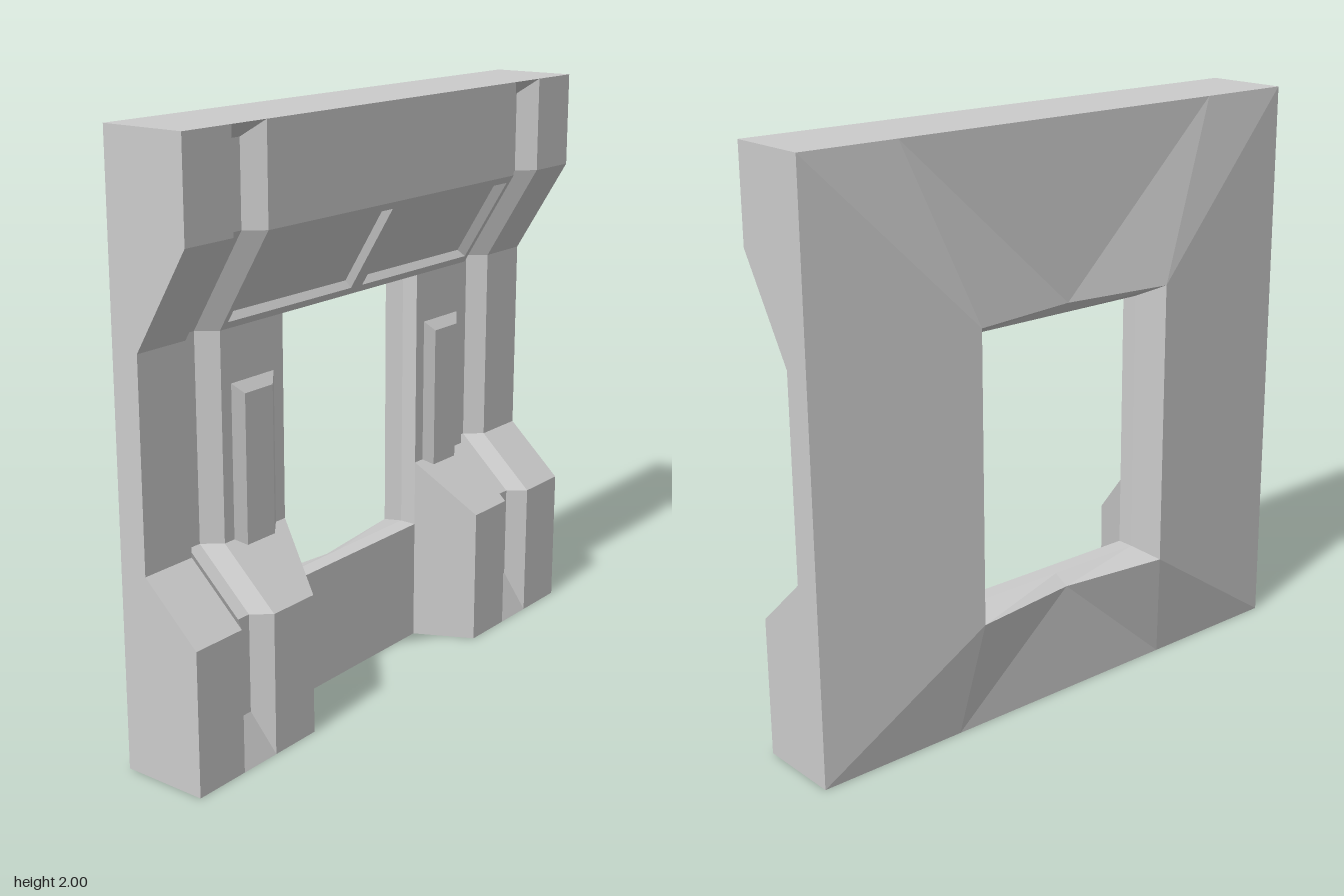
import * as THREE from 'three';

const BACK = -0.12, DEEP = -0.02, FULL = 0.18;
const material = new THREE.MeshStandardMaterial({ color: 0xcccccc, flatShading: true });

// Collects flat triangles from corner points, counter-clockwise from outside
class Faces {
  constructor() { this.p = []; }
  tri(a, b, c) { this.p.push(...a, ...b, ...c); }
  // Joins two polylines with quads
  strip(a, b) {
    for (let i = 0; i < a.length - 1; i++) {
      this.tri(a[i], a[i + 1], b[i + 1]);
      this.tri(a[i], b[i + 1], b[i]);
    }
  }
  mesh(name) {
    const g = new THREE.BufferGeometry();
    g.setAttribute('position', new THREE.Float32BufferAttribute(this.p, 3));
    g.computeVertexNormals();
    const m = new THREE.Mesh(g, material);
    m.name = name;
    return m;
  }
}

// Grid lines of the front relief
const halfX = [0.03, 0.04, 0.36, 0.46, 0.605, 0.63, 0.65, 0.7, 0.75, 0.8, 1];
const xs = [...halfX.map(x => -x).reverse(), ...halfX];
const ys = [0, 0.15, 0.43, 0.48, 0.665, 1.35, 1.375, 1.4, 1.645, 1.655, 1.68, 1.95, 2];

// Wall profile: thick foot, thin middle, thick head
function profile(y) {
  if (y <= 0.48 || y >= 1.68) return FULL;
  if (y < 0.665) return THREE.MathUtils.mapLinear(y, 0.48, 0.665, FULL, DEEP);
  if (y <= 1.35) return DEEP;
  return THREE.MathUtils.mapLinear(y, 1.35, 1.68, DEEP, FULL);
}

function relief(x, y) {
  const ax = Math.abs(x);
  let z = ax <= 0.36 && y < 0.665 ? DEEP : profile(y);
  if (ax >= 0.7 && ax <= 0.75 && y > 0 && y < 2) z -= 0.06; // vertical grooves
  if (ax >= 0.04 && ax <= 0.605 && y >= 1.4 && y <= 1.645) z -= 0.03; // lintel panels
  return [x, y, z];
}

function frontFace() {
  const f = new Faces();
  for (let i = 0; i < xs.length - 1; i++) {
    for (let j = 0; j < ys.length - 1; j++) {
      const mx = Math.abs(xs[i] + xs[i + 1]) / 2;
      if (mx < 0.36 && ys[j] >= 0.43 && ys[j] < 1.35) continue; // opening
      const a = relief(xs[i], ys[j]), b = relief(xs[i + 1], ys[j]);
      const c = relief(xs[i + 1], ys[j + 1]), d = relief(xs[i], ys[j + 1]);
      // Ridge diagonal on the foot chamfers, valley diagonal in the recesses
      const ridge = mx < 0.5 && ys[j] < 1;
      const acHigher = a[2] + c[2] > b[2] + d[2];
      if (acHigher === ridge) { f.tri(a, b, c); f.tri(a, c, d); }
      else { f.tri(a, b, d); f.tri(b, c, d); }
    }
  }
  return f.mesh('frontFace');
}

// Outer sides, top and underside
function outerEdges() {
  const f = new Faces();
  const column = x => [ys.map(y => relief(x, y)), ys.map(y => [x, y, BACK])];
  const row = y => [xs.map(x => relief(x, y)), xs.map(x => [x, y, BACK])];
  const [lf, lb] = column(1), [rf, rb] = column(-1), [tf, tb] = row(2), [bf, bb] = row(0);
  f.strip(lb, lf);
  f.strip(rf, rb);
  f.strip(tf, tb);
  f.strip(bb, bf);
  return f.mesh('outerEdges');
}

// Loop round the opening, with separate depth for corners and mid points
const openingLoop = (w, y0, y1, z, zMid) => [
  [-w, y0, z], [0, y0, zMid], [w, y0, z], [w, y1, z], [0, y1, zMid], [-w, y1, z], [-w, y0, z],
];

function openingReveal() {
  const f = new Faces();
  const front = openingLoop(0.36, 0.43, 1.35, DEEP, DEEP);
  const middle = openingLoop(0.36, 0.43, 1.35, -0.08, -0.08);
  const back = openingLoop(0.4, 0.4, 1.4, -0.185, -0.135);
  f.strip(front, middle);
  f.strip(middle, back);
  return f.mesh('openingReveal');
}

// Faceted back swelling towards the opening
function backFace() {
  const f = new Faces();
  const facingBack = (a, b, c) => {
    const nz = (b[0] - a[0]) * (c[1] - a[1]) - (b[1] - a[1]) * (c[0] - a[0]);
    if (nz > 0) f.tri(a, c, b); else f.tri(a, b, c);
  };
  const rim = (x, y) => [x, y, BACK];
  const corner = (s, y) => [s * 0.4, y, -0.185];
  for (const [y, inner, e] of [[2, 1.4, 0.65], [0, 0.4, 0.46]]) {
    const mid = [0, inner, -0.135];
    facingBack(rim(-e, y), rim(e, y), mid);
    for (const s of [-1, 1]) {
      facingBack(rim(s, y), rim(s * e, y), corner(s, inner));
      facingBack(rim(s * e, y), mid, corner(s, inner));
    }
  }
  for (const s of [-1, 1]) {
    facingBack(rim(s, 0), rim(s, 2), corner(s, 1.4));
    facingBack(rim(s, 0), corner(s, 1.4), corner(s, 0.4));
  }
  return f.mesh('backFace');
}

// Raised jamb panel, bevelled at the sides and top
function jambPanel(side) {
  const g = new THREE.BoxGeometry(0.2, 0.535, 0.025);
  const p = g.attributes.position;
  for (let i = 0; i < p.count; i++) {
    if (p.getZ(i) < 0) continue;
    p.setX(i, p.getX(i) - Math.sign(p.getX(i)) * 0.035);
    if (p.getY(i) > 0) p.setY(i, p.getY(i) - 0.035);
  }
  g.computeVertexNormals();
  const m = new THREE.Mesh(g, material);
  m.position.set(side * 0.505, 0.9075, -0.0075);
  m.name = side > 0 ? 'leftJambPanel' : 'rightJambPanel';
  return m;
}

export function createModel() {
  const group = new THREE.Group();
  group.name = 'windowWall';
  group.add(frontFace(), outerEdges(), openingReveal(), backFace(), jambPanel(1), jambPanel(-1));
  return group;
}
